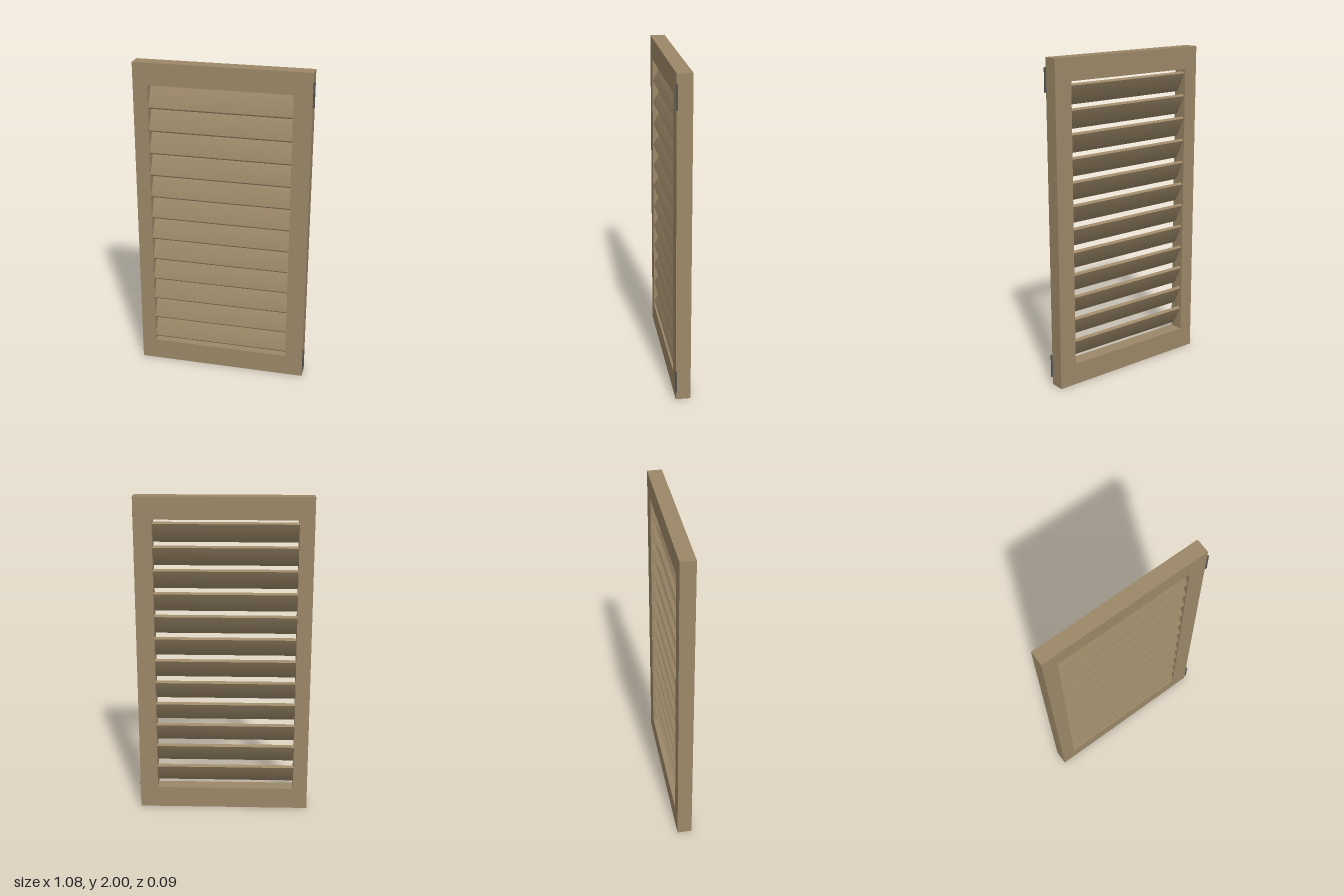
import * as THREE from 'three';
import { toCreasedNormals } from 'three/addons/utils/BufferGeometryUtils.js';

const wood = new THREE.MeshStandardMaterial({ color: 0x9c8868 });
const metal = new THREE.MeshStandardMaterial({ color: 0x555555 });

// Closed rectangle path, used for the frame outline and its opening
function rectangle(path, x0, y0, x1, y1) {
  path.moveTo(x0, y0);
  path.lineTo(x1, y0);
  path.lineTo(x1, y1);
  path.lineTo(x0, y1);
  path.closePath();
  return path;
}

// Slat: a board with a round lower front edge and a square upper back edge
function slatGeometry(x0, x1) {
  const r = 0.011, length = 0.128, tilt = THREE.MathUtils.degToRad(62);
  const profile = new THREE.Shape();
  profile.moveTo(length, -r);
  profile.lineTo(length, r);
  profile.lineTo(0, r);
  profile.absarc(0, 0, r, Math.PI / 2, Math.PI * 1.5, false);
  profile.closePath();
  const geometry = new THREE.ExtrudeGeometry(profile, {
    depth: x1 - x0, bevelEnabled: false, curveSegments: 10,
  });
  geometry.rotateZ(tilt);
  geometry.rotateY(Math.PI / 2);
  geometry.translate(x0, r, 0.025);
  return toCreasedNormals(geometry, 0.6);
}

export function createModel() {
  const model = new THREE.Group();
  model.name = 'louveredShutter';

  function add(name, geometry, material, y = 0) {
    const mesh = new THREE.Mesh(geometry, material);
    mesh.name = name;
    mesh.position.y = y;
    model.add(mesh);
    return mesh;
  }

  // Frame with one tall opening
  const outline = rectangle(new THREE.Shape(), -0.54, 0, 0.528, 2);
  outline.holes.push(rectangle(new THREE.Path(), -0.45, 0.135, 0.417, 1.865));
  const frame = new THREE.ExtrudeGeometry(outline, { depth: 0.09, bevelEnabled: false });
  frame.translate(0, 0, -0.05);
  add('frame', frame, wood);

  // Twelve tilted slats, let slightly into the stiles
  const slat = slatGeometry(-0.452, 0.419);
  for (let i = 0; i < 12; i++) add('slat' + (i + 1), slat, wood, 0.16 + i * 0.1418);

  // Hinge barrels on the left stile
  const barrel = new THREE.CylinderGeometry(0.006, 0.006, 0.143, 16);
  barrel.translate(0.534, 0, 0.039);
  add('lowerHinge', barrel, metal, 0.124);
  add('upperHinge', barrel, metal, 1.872);

  return model;
}
